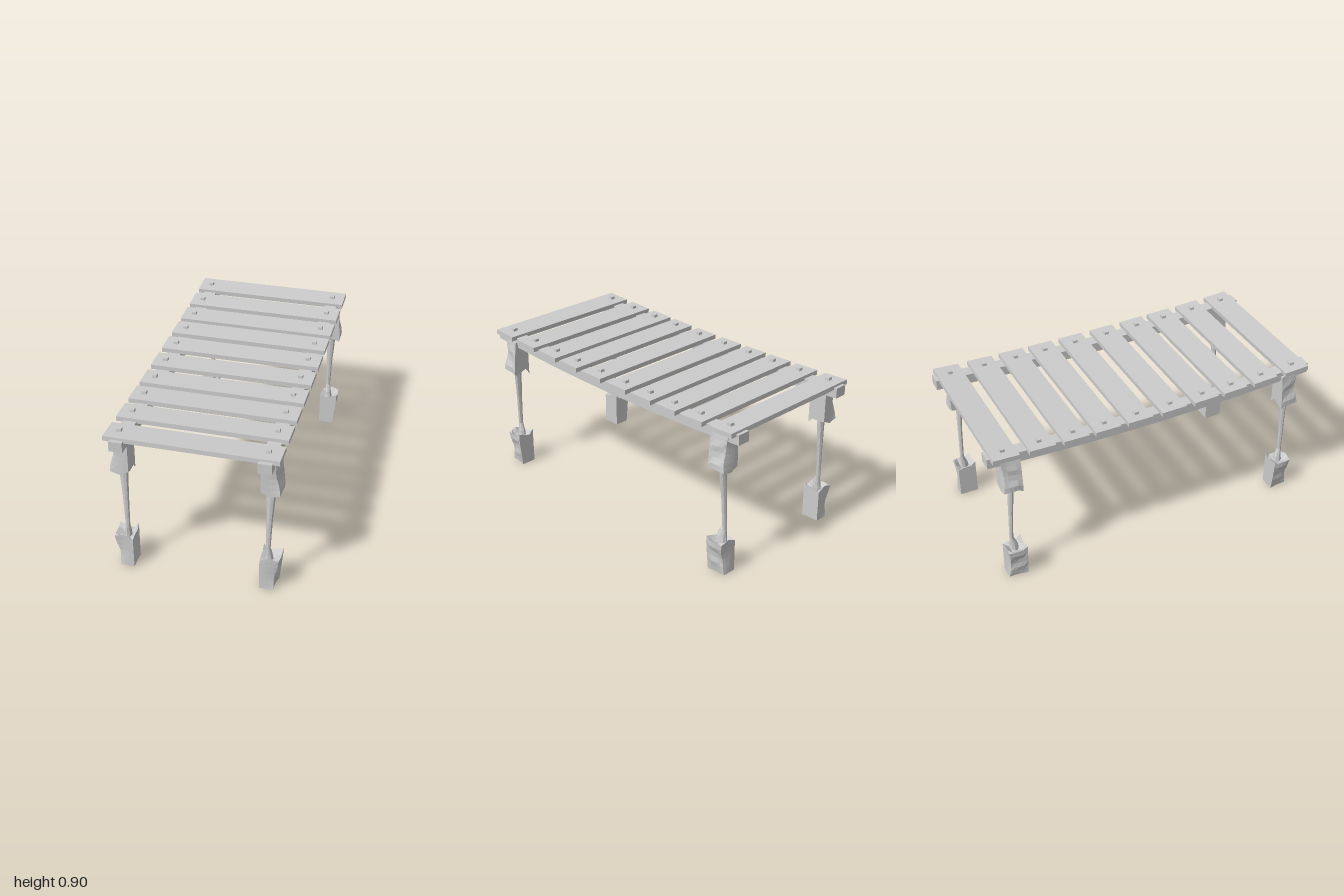
import * as THREE from 'three';

const material = new THREE.MeshStandardMaterial({ color: 0xcccccc, flatShading: true });

function part(name, geometry) {
  const mesh = new THREE.Mesh(geometry, material);
  mesh.name = name;
  return mesh;
}

// Move every vertex by a rule; reversed turns the faces over for mirrored parts
function reshape(geometry, rule, reversed = false) {
  const p = geometry.attributes.position;
  const v = new THREE.Vector3();
  for (let i = 0; i < p.count; i++) {
    v.fromBufferAttribute(p, i);
    rule(v);
    p.setXYZ(i, v.x, v.y, v.z);
  }
  if (reversed) geometry.index.array.reverse();
  geometry.computeVertexNormals();
  return geometry;
}

// Piecewise linear lookup in [key, value, value...] rows
function sample(rows, key, column) {
  let i = 0;
  while (i < rows.length - 2 && key > rows[i + 1][0]) i++;
  const a = rows[i], b = rows[i + 1];
  const f = THREE.MathUtils.clamp((key - a[0]) / (b[0] - a[0]), 0, 1);
  return THREE.MathUtils.lerp(a[column], b[column], f);
}

// How far the outer corner is chipped away along the block's height
const CHIP = [[0, 0.016], [0.2, 0.018], [0.42, 0.028], [0.7, 0.012], [1, 0.004]];
// Outward taper of the block towards its flat end
const TAPER = [[0, 0.018], [0.4, 0.009], [0.8, 0], [1, 0.001]];

// Chipped stump: flat at one end, splintered at the other
function stump(sx, sz, hanging) {
  const geometry = new THREE.BoxGeometry(1, 1, 1, 4, 6, 4);
  return reshape(geometry, (v) => {
    const u = v.x + 0.5, t = v.y + 0.5, w = v.z + 0.5;
    // broken end: raised rim, hollow middle, long splinter at the inner corner
    const edge = Math.max(Math.abs(v.x), Math.abs(v.z)) * 2;
    let h = 0.168 + 0.03 * edge;
    if (w > 0.9) h = sample([[0, 0.19], [0.5, 0.215], [1, 0.2]], u, 1);
    if (w < 0.1) h = sample([[0, 0.226], [0.25, 0.19], [1, 0.216]], u, 1);
    const chip = sample(CHIP, t, 1) * w;
    const dent = 0.006 * Math.sin(t * 11 + 1) * Math.sin(Math.PI * w);
    const x = 0.36 + u * (0.109 - sample(TAPER, t, 1) - chip * 0.8 - dent);
    const z = 0.82 + w * (0.11 - u * u * 0.012 * Math.sin(t * Math.PI));
    const y = t * h;
    v.set(sx * x, hanging ? 0.84 - y : y, sz * z);
  }, sx * sz * (hanging ? -1 : 1) < 0);
}

// Worn post: height, inner x, outer x, inner z, outer z
const POST = [
  [0.14, 0.378, 0.435, 0.845, 0.91],
  [0.21, 0.382, 0.422, 0.856, 0.902],
  [0.26, 0.385, 0.412, 0.876, 0.9],
  [0.45, 0.384, 0.42, 0.868, 0.895],
  [0.63, 0.382, 0.434, 0.855, 0.89],
  [0.72, 0.38, 0.44, 0.85, 0.895],
];

function post(sx, sz) {
  const geometry = new THREE.CylinderGeometry(1, 1, 1, 8, POST.length - 1);
  return reshape(geometry, (v) => {
    const row = POST[Math.round((v.y + 0.5) * (POST.length - 1))];
    v.set(
      sx * THREE.MathUtils.lerp(row[1], row[2], (v.x + 1) / 2),
      row[0],
      sz * THREE.MathUtils.lerp(row[3], row[4], (v.z + 1) / 2)
    );
  }, sx * sz < 0);
}

export function createModel() {
  const model = new THREE.Group();
  model.name = 'plankBridge';

  // Sagging side beams
  for (const x of [-0.3975, 0.3975]) {
    const beam = new THREE.BoxGeometry(0.075, 0.06, 2, 1, 1, 10);
    model.add(part('beam', reshape(beam, (v) => {
      v.x += x;
      v.y += 0.813 + 0.036 * v.z * v.z;
    })));
  }

  // Planks following the sag, each held by two square pegs
  const plankZ = [-0.905, -0.697, -0.5, -0.312, -0.114, 0.095, 0.3, 0.49, 0.69, 0.9];
  for (const z of plankZ) {
    const plank = new THREE.Group();
    plank.name = 'plank';
    plank.position.set(-0.002, 0.855 + 0.023 * z * z, z);
    plank.rotation.x = -Math.atan(0.06 * z);
    plank.add(part('board', new THREE.BoxGeometry(0.945, 0.027, 0.151)));
    for (const x of [-0.405, 0.397]) {
      const peg = part('peg', new THREE.CylinderGeometry(0.018, 0.021, 0.03, 4).rotateY(Math.PI / 4));
      peg.position.set(x, 0.0145, 0);
      plank.add(peg);
    }
    model.add(plank);
  }

  // Four broken legs
  for (const sx of [-1, 1]) {
    for (const sz of [-1, 1]) {
      const leg = new THREE.Group();
      leg.name = 'leg';
      leg.add(part('foot', stump(sx, sz, false)));
      leg.add(part('post', post(sx, sz)));
      leg.add(part('legTop', stump(sx, sz, true)));
      model.add(leg);
    }
  }
  return model;
}
